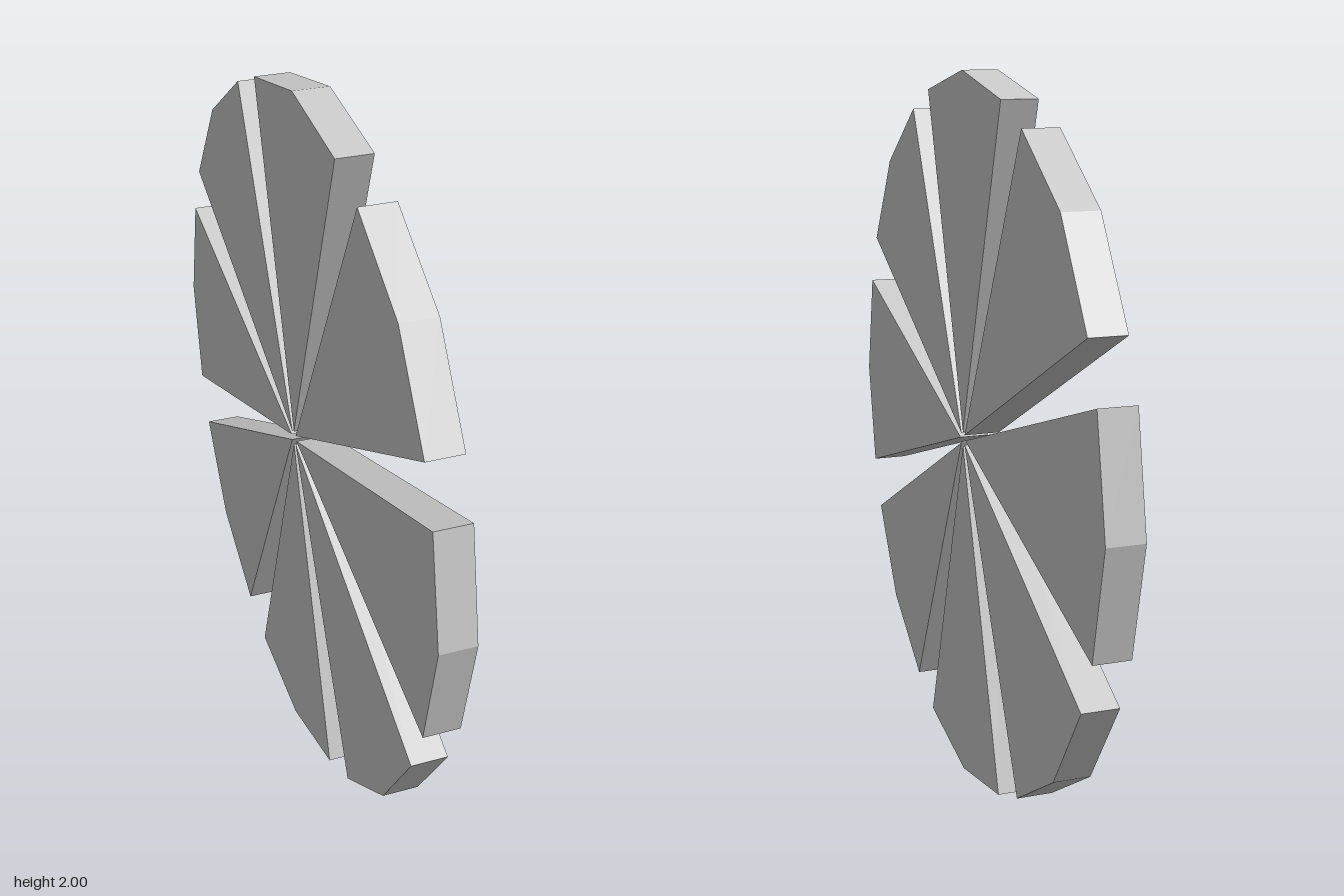
import * as THREE from 'three';

const WEDGES = 8;
const THICKNESS = 0.1;

// One slice pointing along +x, with a two-facet outer rim
function wedgeGeometry() {
  const shape = new THREE.Shape([
    new THREE.Vector2(0.02, 0),
    new THREE.Vector2(0.938, -0.303),
    new THREE.Vector2(1, 0),
    new THREE.Vector2(0.938, 0.303),
  ]);
  const geometry = new THREE.ExtrudeGeometry(shape, { depth: THICKNESS, bevelEnabled: false });
  return geometry.translate(0, 0, -THICKNESS / 2);
}

export function createModel() {
  const model = new THREE.Group();
  model.name = 'slicedDisc';
  const material = new THREE.MeshStandardMaterial({ color: 0xcccccc, flatShading: true });
  const geometry = wedgeGeometry();

  // Ring of separate slices
  const ring = new THREE.Group();
  ring.name = 'wedgeRing';
  for (let i = 0; i < WEDGES; i++) {
    const wedge = new THREE.Mesh(geometry, material);
    wedge.name = `wedge${i + 1}`;
    wedge.rotation.z = (i / WEDGES) * Math.PI * 2;
    ring.add(wedge);
  }

  // Stand the disc upright, facing sideways
  ring.rotation.y = Math.PI / 2;
  ring.position.y = 1;
  model.add(ring);
  return model;
}
